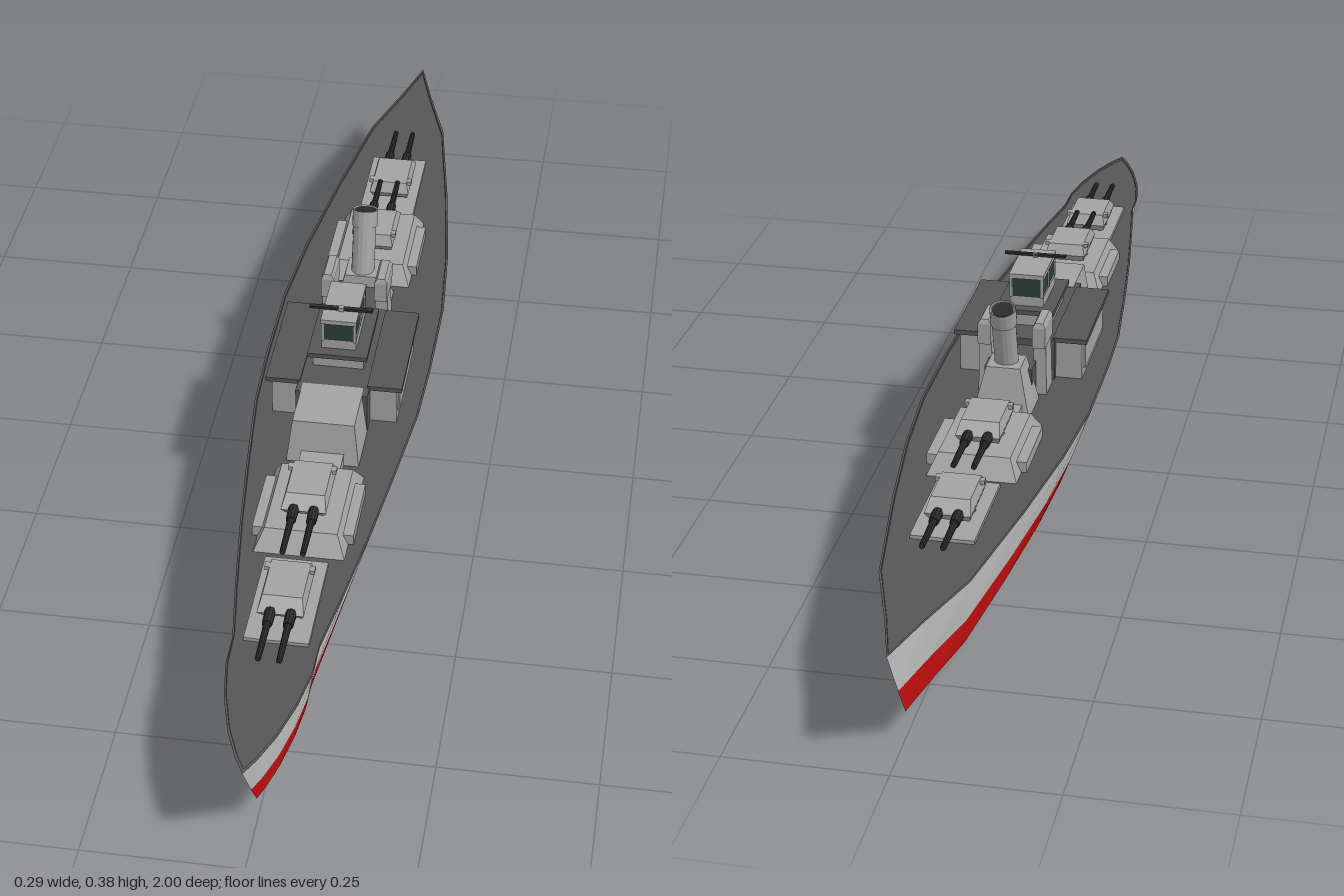
import * as THREE from 'three';

const mat = (color) => new THREE.MeshStandardMaterial({ color, flatShading: true, side: THREE.DoubleSide });
const GREY = mat(0xcccccc), STEEL = mat(0xa2a2a2), DARK = mat(0x555555), BLACK = mat(0x2a2a2a);
const RED = mat(0xd01010), GLASS = mat(0x2c3d3d);

// Deck outline, bow to stern: [z, half width]
const OUTLINE = [[1, 0], [0.97, 0.016], [0.92, 0.036], [0.85, 0.055], [0.78, 0.066], [0.72, 0.067], [0.6, 0.085],
  [0.45, 0.105], [0.3, 0.122], [0.13, 0.139], [0, 0.143], [-0.18, 0.143], [-0.35, 0.13], [-0.55, 0.104],
  [-0.77, 0.069], [-0.9, 0.028], [-1, 0]];
const RING = [...OUTLINE, ...OUTLINE.slice(1, -1).reverse().map(([z, x]) => [z, -x])];

// Skin through scaled copies of the outline; level = [y, x scale, z scale]
function hullSkin(levels) {
  const pos = [];
  const at = ([y, sx, sz], i) => {
    const [z, x] = RING[i % RING.length];
    return [x * sx, y, z * sz];
  };
  for (let l = 0; l < levels.length - 1; l++) {
    for (let i = 0; i < RING.length; i++) {
      const a = at(levels[l], i), b = at(levels[l], i + 1);
      const c = at(levels[l + 1], i + 1), d = at(levels[l + 1], i);
      pos.push(...a, ...b, ...c, ...a, ...c, ...d);
    }
  }
  const g = new THREE.BufferGeometry();
  g.setAttribute('position', new THREE.Float32BufferAttribute(pos, 3));
  g.computeVertexNormals();
  return g;
}

function add(parent, name, geometry, material, x = 0, y = 0, z = 0) {
  const m = new THREE.Mesh(geometry, material);
  m.name = name;
  m.position.set(x, y, z);
  parent.add(m);
  return m;
}

// Block standing on y = 0 whose top is scaled by tx, tz and shifted along z
function block(w, h, d, tx = 1, tz = 1, shift = 0) {
  const g = new THREE.BoxGeometry(w, h, d).translate(0, h / 2, 0);
  const p = g.attributes.position;
  for (let i = 0; i < p.count; i++) {
    if (p.getY(i) > h / 2) p.setXYZ(i, p.getX(i) * tx, h, p.getZ(i) * tz + shift);
  }
  g.computeVertexNormals();
  return g;
}

// Twin-gun turret with its barrels along +z
function turret(name) {
  const t = new THREE.Group();
  t.name = name;
  add(t, 'turretRing', new THREE.CylinderGeometry(0.032, 0.032, 0.01, 12), DARK, 0, 0.003, 0);
  add(t, 'turretLower', block(0.064, 0.014, 0.09, 1.13, 1.27), STEEL, 0, 0.005, 0);
  add(t, 'turretUpper', block(0.072, 0.018, 0.114, 0.86, 0.72, -0.006), STEEL, 0, 0.019, 0);
  add(t, 'rangefinder', new THREE.BoxGeometry(0.078, 0.007, 0.012), STEEL, 0, 0.033, -0.035);
  for (const s of [-1, 1]) {
    const along = (r0, r1, len) => new THREE.CylinderGeometry(r1, r0, len, 10).rotateX(Math.PI / 2);
    add(t, 'gunSleeve', along(0.009, 0.008, 0.03), BLACK, s * 0.016, 0.018, 0.065);
    add(t, 'gunBarrel', along(0.006, 0.0045, 0.1), BLACK, s * 0.016, 0.018, 0.108);
  }
  return t;
}

export function createModel() {
  const ship = new THREE.Group();
  ship.name = 'warship';

  // Hull: red below the waterline, grey above, slightly sunken deck
  add(ship, 'lowerHull', hullSkin([[0, 0, 0], [0, 0.295, 0.42], [0.045, 0.615, 0.9], [0.103, 0.77, 0.94]]), RED);
  add(ship, 'upperHull', hullSkin([[0.103, 0.77, 0.94], [0.195, 1, 1]]), GREY);
  add(ship, 'deck', hullSkin([[0.195, 1, 1], [0.195, 0.975, 0.99], [0.192, 0.97, 0.988], [0.192, 0, 0]]), DARK);

  // Turrets on their platforms: [name, z, direction, raised]
  for (const [name, z, dir, raised] of [['foreTurret', 0.625, 1, false], ['raisedForeTurret', 0.41, 1, true],
    ['raisedAftTurret', -0.345, -1, true], ['aftTurret', -0.56, -1, false]]) {
    const mount = new THREE.Group();
    mount.name = name + 'Mount';
    mount.position.set(0, 0.192, z);
    if (dir < 0) mount.rotation.y = Math.PI;
    const h = raised ? 0.032 : 0.006;
    if (raised) {
      add(mount, 'platform', block(0.145, h, 0.21, 0.8, 0.78), STEEL);
      for (const s of [-1, 1]) add(mount, 'platformLocker', block(0.022, 0.018, 0.13), STEEL, s * 0.07, 0, 0);
    } else {
      add(mount, 'platform', block(0.1, h, 0.19), STEEL);
    }
    const t = turret(name);
    t.position.y = h;
    mount.add(t);
    ship.add(mount);
  }

  // Deckhouse with sloping front
  add(ship, 'foreDeckhouse', block(0.12, 0.073, 0.13, 0.85, 0.8, 0), STEEL, 0, 0.192, 0.215);
  add(ship, 'centreDeckhouse', block(0.12, 0.072, 0.25), DARK, 0, 0.192, 0.06);
  add(ship, 'forwardLocker', block(0.07, 0.02, 0.05), STEEL, 0, 0.192, 0.295);
  for (const s of [-1, 1]) {
    add(ship, 'sideCasemate', block(0.046, 0.068, 0.205), STEEL, s * 0.082, 0.192, 0.05);
    add(ship, 'casematePanel', block(0.006, 0.042, 0.17), STEEL, s * 0.105, 0.205, 0.05);
    add(ship, 'casemateRoof', block(0.058, 0.008, 0.22), DARK, s * 0.085, 0.259, 0.05);
  }

  // Bridge tower with windows all round
  add(ship, 'bridgeBase', block(0.085, 0.024, 0.12), STEEL, 0, 0.264, 0.05);
  add(ship, 'bridgeWalk', block(0.1, 0.008, 0.145), DARK, 0, 0.288, 0.05);
  add(ship, 'bridgeLower', block(0.058, 0.018, 0.105), STEEL, 0, 0.296, 0.05);
  add(ship, 'bridgeWindows', block(0.054, 0.034, 0.106), GLASS, 0, 0.313, 0.05);
  add(ship, 'bridgeRoof', block(0.06, 0.008, 0.114), STEEL, 0, 0.347, 0.05);
  for (const sx of [-1, 1]) for (const sz of [-1, 0, 1]) {
    add(ship, 'windowPost', block(0.005, 0.036, 0.006), STEEL, sx * 0.027, 0.312, 0.05 + sz * 0.052);
  }
  add(ship, 'antennaPost', block(0.008, 0.008, 0.008), STEEL, 0, 0.354, 0.075);
  add(ship, 'antennaBar', block(0.106, 0.004, 0.008), BLACK, 0, 0.357, 0.075);

  // Director posts either side
  for (const s of [-1, 1]) {
    add(ship, 'directorPost', block(0.024, 0.09, 0.05, 0.85, 0.9), STEEL, s * 0.046, 0.192, -0.1);
    add(ship, 'directorHead', block(0.022, 0.036, 0.066), STEEL, s * 0.046, 0.279, -0.1);
    add(ship, 'directorCap', block(0.022, 0.008, 0.066, 0.6, 0.9), STEEL, s * 0.046, 0.315, -0.1);
  }
  add(ship, 'aftDeckhouse', block(0.08, 0.06, 0.11), DARK, 0, 0.192, -0.105);

  // Raked funnel on a tapered housing
  add(ship, 'funnelHousing', block(0.095, 0.08, 0.085, 0.6, 0.65, 0.005), STEEL, 0, 0.192, -0.18);
  add(ship, 'aftLocker', block(0.07, 0.022, 0.05), STEEL, 0, 0.192, -0.235);
  const funnel = new THREE.Group();
  funnel.name = 'funnel';
  funnel.position.set(0, 0.25, -0.165);
  funnel.rotation.x = -0.28;
  add(funnel, 'funnelPipe', new THREE.CylinderGeometry(0.02, 0.02, 0.13, 16), STEEL, 0, 0.065, 0);
  add(funnel, 'funnelCollar', new THREE.CylinderGeometry(0.022, 0.022, 0.03, 16, 1, true), STEEL, 0, 0.118, 0);
  add(funnel, 'funnelMouth', new THREE.CylinderGeometry(0.018, 0.018, 0.002, 16), BLACK, 0, 0.13, 0);
  ship.add(funnel);

  return ship;
}
